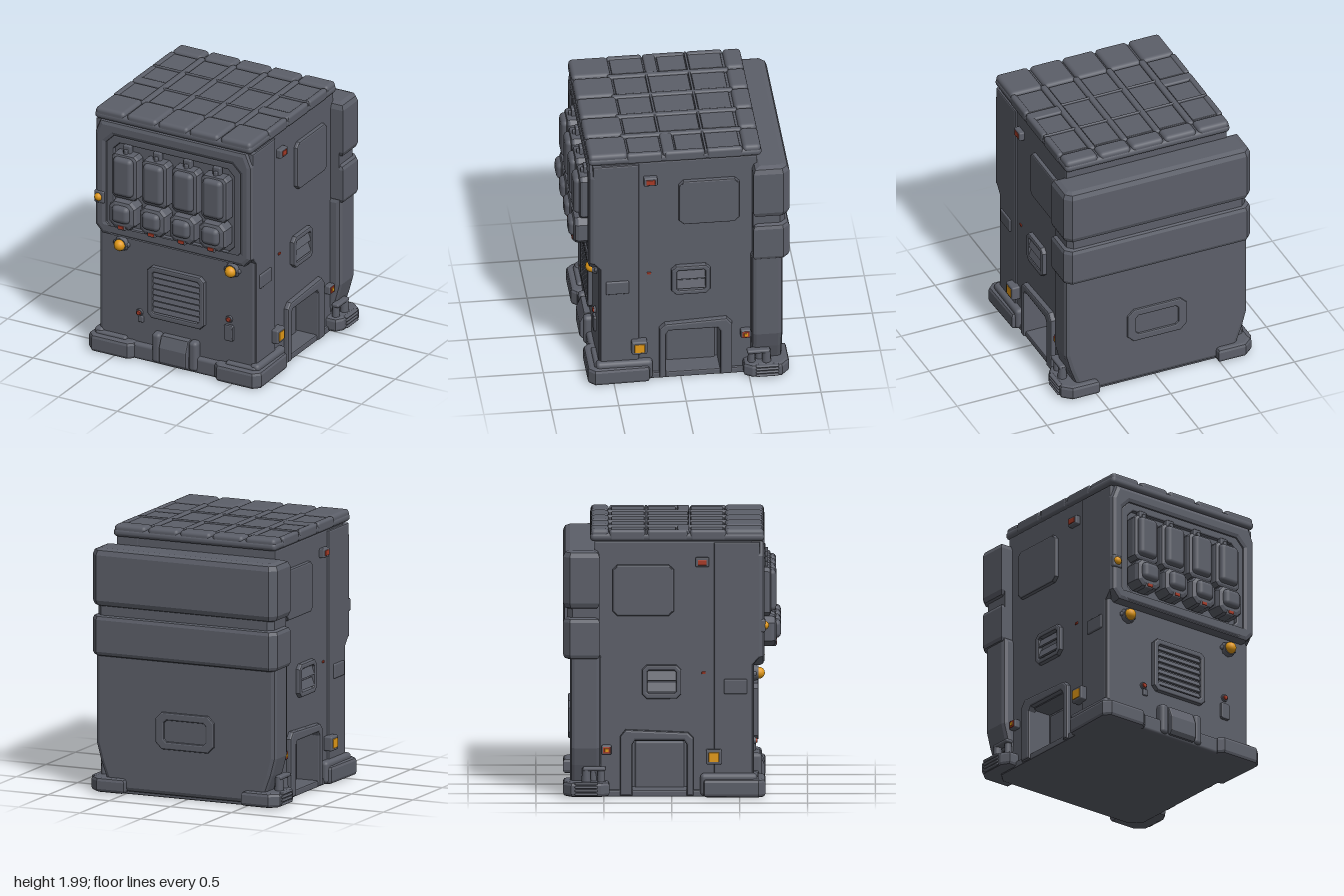
import * as THREE from 'three';
import { RoundedBoxGeometry } from 'three/addons/geometries/RoundedBoxGeometry.js';

const paint = (name, color) => Object.assign(new THREE.MeshStandardMaterial({ color }), { name });

export function createModel() {
  const model = new THREE.Group();
  model.name = 'machineryBlock';
  const grey = paint('slateGrey', 0x5c5f69);
  const amber = paint('amberLamp', 0xe39a17);
  const red = paint('redLamp', 0xa83a26);

  const add = (name, geo, mat = grey) => {
    const m = new THREE.Mesh(geo, mat);
    m.name = name;
    model.add(m);
    return m;
  };
  // Soft-edged box given by its centre and size
  const box = (name, x, y, z, w, h, d, r = 0.015, mat = grey) => {
    const m = add(name, new RoundedBoxGeometry(w, h, d, 2, Math.min(r, w / 2.1, h / 2.1, d / 2.1)), mat);
    m.position.set(x, y, z);
    return m;
  };
  const path = (pts, Type = THREE.Shape) => new Type(pts.map(p => new THREE.Vector2(p[0], p[1])));
  // Rectangle with cut corners
  const cut = (x0, y0, x1, y1, c) => [[x0 + c, y0], [x1 - c, y0], [x1, y0 + c], [x1, y1 - c],
    [x1 - c, y1], [x0 + c, y1], [x0, y1 - c], [x0, y0 + c]];
  // Bevelled plate occupying depths a to b
  const plate = (pts, a, b, bevel, hole) => {
    const s = path(pts);
    if (hole) s.holes.push(path(hole, THREE.Path));
    return new THREE.ExtrudeGeometry(s, {
      depth: b - a - 2 * bevel, bevelEnabled: bevel > 0, bevelThickness: bevel,
      bevelSize: bevel, bevelOffset: -bevel, bevelSegments: 2,
    }).translate(0, 0, a + bevel);
  };
  // Plan outline in (x, z) raised from y0 to y1
  const slab = (name, pts, y0, y1, bevel) =>
    add(name, plate(pts.map(p => [p[0], -p[1]]), y0, y1, bevel).rotateX(-Math.PI / 2));

  // Core, floor and front wall
  box('core', 0, 0.97, 0, 0.98, 1.9, 1.14);
  add('frontWall', plate(cut(-0.66, 0.02, 0.66, 1.06, 0.02), 0.45, 0.605, 0.025));
  slab('floor', cut(-0.67, -0.72, 0.67, 0.63, 0.08), 0.01, 0.06, 0.01);

  // Upper front panel with tank bay
  add('tankBayFrame', plate([[-0.6, 0.98], [0.6, 0.98], [0.665, 1.05], [0.665, 1.8], [0.62, 1.91],
    [-0.62, 1.91], [-0.665, 1.8], [-0.665, 1.05]], 0.4, 0.682, 0.035, cut(-0.56, 1.03, 0.56, 1.79, 0.06)));
  add('tankBayBack', plate(cut(-0.58, 1.01, 0.58, 1.81, 0.05), 0.5, 0.635, 0));
  add('tankBayLip', plate(cut(-0.57, 1.02, 0.57, 1.8, 0.06), 0.62, 0.665, 0.012, cut(-0.51, 1.07, 0.51, 1.74, 0.05)));
  for (const x of [-0.385, -0.13, 0.125, 0.375]) {
    add('upperTank', plate(cut(-0.112, 1.325, 0.112, 1.69, 0.03), 0.62, 0.73, 0.025)).position.x = x;
    box('tankCover', x, 1.515, 0.72, 0.165, 0.31, 0.1, 0.035);
    box('tankClip', x, 1.715, 0.665, 0.065, 0.07, 0.05, 0.01);
    box('tankClipPin', x, 1.695, 0.695, 0.03, 0.05, 0.03, 0.008);
    add('lowerPod', plate(cut(-0.112, 1.1, 0.112, 1.325, 0.045), 0.62, 0.77, 0.035)).position.x = x;
    box('podCover', x, 1.225, 0.745, 0.15, 0.14, 0.12, 0.04);
    box('podLampHousing', x, 1.122, 0.71, 0.068, 0.056, 0.12, 0.01);
    box('podLamp', x, 1.118, 0.772, 0.046, 0.024, 0.008, 0.003, red);
  }
  box('panelLampHousing', -0.62, 1.28, 0.66, 0.085, 0.1, 0.06);
  const panelLamp = add('panelLamp', new THREE.SphereGeometry(0.032, 12, 8), amber);
  panelLamp.position.set(-0.625, 1.28, 0.685);

  // Louvred vent with the open direction along local +z
  const louvre = (w, h, rows, bars, frame) => {
    const g = new THREE.Group();
    g.name = 'louvreVent';
    const put = (name, geo, x, y, z) => {
      const m = new THREE.Mesh(geo, grey);
      m.name = name;
      m.position.set(x, y, z);
      g.add(m);
      return m;
    };
    put('ventFrame', plate(cut(-w / 2, -h / 2, w / 2, h / 2, 0.035), -0.02, 0.035, 0.012,
      cut(-w / 2 + frame, -h / 2 + frame, w / 2 - frame, h / 2 - frame, 0.012)), 0, 0, 0);
    const step = (h - 2 * frame) / rows;
    for (let i = 0; i < rows; i++) {
      const slat = put('ventSlat', new THREE.BoxGeometry(w - 2 * frame, step * 0.8, 0.014),
        0, -h / 2 + frame + step * (i + 0.5), 0.014);
      slat.rotation.x = -0.35;
    }
    for (let i = 1; i <= bars; i++)
      put('ventBar', new THREE.BoxGeometry(0.012, h - 2 * frame, 0.02), (i / (bars + 1) - 0.5) * (w - 2 * frame), 0, 0.014);
    model.add(g);
    return g;
  };
  louvre(0.48, 0.42, 7, 0, 0.045).position.set(0, 0.58, 0.605);

  // Lower front lamps and fittings
  const turned = (name, r0, r1, len, x, y, z, mat, sides = 12) => {
    const m = add(name, new THREE.CylinderGeometry(r1, r0, len, sides).rotateX(Math.PI / 2), mat);
    m.position.set(x, y, z);
    return m;
  };
  for (const s of [-1, 1]) {
    turned('headlampCollar', 0.062, 0.052, 0.04, s * 0.47, 0.905, 0.62, grey, 8);
    box('headlampBracket', s * 0.47, 0.905, 0.61, 0.14, 0.035, 0.03);
    const dome = add('headlamp', new THREE.SphereGeometry(0.044, 16, 10), amber);
    dome.position.set(s * 0.47, 0.905, 0.642);
  }
  for (const [x, y] of [[-0.32, 0.38], [0.44, 0.5]]) {
    turned('signalCollar', 0.03, 0.026, 0.02, x, y, 0.61, grey);
    turned('signalLamp', 0.021, 0.015, 0.016, x, y, 0.622, red);
  }
  add('switchBox', plate(cut(0.4, 0.325, 0.48, 0.455, 0.012), 0.59, 0.625, 0.01, cut(0.418, 0.35, 0.462, 0.43, 0.008)));
  box('switch', 0.44, 0.385, 0.61, 0.035, 0.05, 0.02, 0.006);
  box('smallFitting', -0.305, 0.33, 0.608, 0.04, 0.05, 0.025, 0.008);

  // Centre hatch at the foot of the front
  box('hatchStep', 0, 0.075, 0.58, 0.74, 0.13, 0.13, 0.025);
  for (const s of [-1, 1]) box('hatchCheek', s * 0.155, 0.145, 0.6, 0.075, 0.24, 0.13, 0.03);
  add('hatch', plate([[0.56, 0.03], [0.665, 0.03], [0.685, 0.06], [0.685, 0.17], [0.65, 0.255], [0.56, 0.265]],
    -0.115, 0.115, 0.01).rotateY(-Math.PI / 2));

  for (const s of [-1, 1]) {
    // Side wall pieces are drawn in (-z, y) and stand between two distances from the centre plane
    const wall = (name, pts, a, b, bevel, hole) => {
      const [p, q] = s > 0 ? [a, b] : [-b, -a];
      return add(name, plate(pts, p, q, bevel, hole).rotateY(Math.PI / 2));
    };
    const side = (name, z, y, w, h, x, t, r, mat) => box(name, s * x, y, z, t, h, w, r, mat);

    wall('sideWall', [[-0.59, 0.02], [-0.11, 0.02], [-0.11, 0.42], [0.29, 0.42], [0.29, 0.02], [0.57, 0.02],
      [0.57, 1.91], [-0.59, 1.91]], 0.47, 0.65, 0.01);
    wall('sidePillar', [[-0.595, 0.05], [-0.31, 0.05], [-0.31, 1.9], [-0.65, 1.9], [-0.65, 1.05], [-0.595, 0.99]], 0.6, 0.665, 0.012);
    wall('doorFrame', [[-0.16, 0.02], [-0.11, 0.02], [-0.11, 0.4], [-0.09, 0.43], [0.27, 0.43], [0.29, 0.4],
      [0.29, 0.02], [0.38, 0.02], [0.38, 0.46], [0.34, 0.51], [-0.12, 0.49], [-0.16, 0.45]], 0.62, 0.69, 0.015);
    side('door', -0.09, 0.21, 0.36, 0.38, 0.49, 0.04);

    const turn = s * Math.PI / 2;
    const upper = louvre(0.45, 0.38, 6, 2, 0.025);
    upper.position.set(s * 0.645, 1.545, -0.21);
    upper.rotation.y = turn;
    const middle = louvre(0.29, 0.25, 2, 0, 0.04);
    middle.position.set(s * 0.65, 0.865, -0.075);
    middle.rotation.y = turn;

    // Side lamps and access cover
    side('accessCover', 0.47, 0.83, 0.17, 0.11, 0.665, 0.025, 0.01);
    side('markerHousing', 0.225, 1.755, 0.1, 0.07, 0.665, 0.05, 0.01);
    side('markerLamp', 0.225, 1.755, 0.065, 0.04, 0.691, 0.008, 0.003, red);
    side('pinLamp', 0.235, 0.93, 0.03, 0.018, 0.653, 0.01, 0.004, red);
    side('sideLampHousing', 0.31, 0.31, 0.115, 0.11, 0.68, 0.07, 0.012);
    side('sideLamp', 0.31, 0.31, 0.075, 0.07, 0.716, 0.008, 0.003, amber);
    side('rearLampHousing', -0.48, 0.36, 0.075, 0.07, 0.665, 0.06, 0.012);
    side('rearLampRim', -0.48, 0.36, 0.055, 0.05, 0.695, 0.008, 0.003, red);
    side('rearLamp', -0.48, 0.36, 0.028, 0.026, 0.7, 0.008, 0.003, amber);

    // Front foot
    const mir = pts => (s > 0 ? pts : pts.map(p => [-p[0], p[1]]).reverse());
    slab('frontFoot', mir([[0.34, 0.3], [0.6, 0.2], [0.72, 0.24], [0.73, 0.64], [0.68, 0.69], [0.38, 0.69], [0.34, 0.65]]), 0.01, 0.145, 0.025);
    side('footRidge', 0.42, 0.1, 0.42, 0.17, 0.66, 0.08, 0.03);
    box('footCap', s * 0.55, 0.14, 0.59, 0.26, 0.05, 0.1, 0.02);

    // Rear foot with its fittings
    slab('rearFoot', mir([[0.48, -0.8], [0.7, -0.8], [0.77, -0.74], [0.77, -0.52], [0.73, -0.46], [0.56, -0.46], [0.48, -0.55]]), 0.02, 0.13, 0.025);
    for (let i = 0; i < 4; i++) side('footRib', -0.63, 0.042 + i * 0.026, 0.17, 0.018, 0.765, 0.035, 0.008);
    for (const [x, z, h, r] of [[0.7, -0.52, 0.1, 0.03], [0.71, -0.63, 0.11, 0.035], [0.66, -0.58, 0.18, 0.028]]) {
      const post = add('footPost', new THREE.CylinderGeometry(r * 0.85, r, h, 10));
      post.position.set(s * x, 0.12 + h / 2, z);
    }
    box('footPipe', s * 0.71, 0.225, -0.57, 0.06, 0.03, 0.17, 0.012);
  }

  // Rear pack: bands with cut corners, over a tapering lower shell
  const plan = (x, z, c) => [[-x + c, z], [x - c, z], [x, z + c], [x, -0.53], [-x, -0.53], [-x, z + c]];
  slab('packTopBand', plan(0.755, -0.8, 0.05), 1.41, 1.85, 0.05);
  slab('packGroove', plan(0.72, -0.77, 0.04), 1.25, 1.5, 0.01);
  slab('packMiddleBand', plan(0.755, -0.8, 0.05), 1.04, 1.35, 0.035);
  add('packLowerShell', plate([[-0.62, 0.03], [0.62, 0.03], [0.7, 0.25], [0.735, 0.38], [0.735, 1.08],
    [-0.735, 1.08], [-0.735, 0.38], [-0.7, 0.25]], -0.75, -0.52, 0.035));
  add('packRearPanel', plate(cut(-0.24, 0.38, 0.24, 0.66, 0.05), -0.765, -0.73, 0.012, cut(-0.17, 0.44, 0.17, 0.6, 0.02)));

  // Roof slab, segmented rim, ribs and sunken tiles
  box('roofSlab', 0, 1.94, 0.04, 1.33, 0.065, 1.285, 0.03);
  const columns = [[-0.66, -0.41], [-0.395, -0.14], [-0.13, 0.125], [0.135, 0.385], [0.4, 0.66]];
  columns.forEach(([a, b], i) => {
    const x = (a + b) / 2, w = b - a;
    box('roofFrontRim', x, 1.955, 0.535, w, 0.09, 0.29, 0.03);
    box('roofBackRim', x, 1.955, -0.53, w, 0.09, 0.135, 0.03);
    const outer = i === 0 || i === 4;
    const rows = [[-0.445, -0.2], [-0.175, outer ? 0.03 : 0.12], [0.14, 0.38]];
    for (const [c, d] of rows) box('roofTile', x, 1.97, (c + d) / 2, w - 0.045, 0.03, d - c, 0.006);
    box('roofCrossRib', x, 1.975, -0.188, w, 0.04, 0.018, 0.008);
    box('roofCrossRib', x, 1.975, outer ? 0.085 : 0.13, w, 0.04, outer ? 0.09 : 0.018, 0.015);
  });
  for (const x of [-0.4025, -0.135, 0.13, 0.3925]) box('roofLongRib', x, 1.97, -0.03, 0.05, 0.05, 0.9, 0.018);
  for (const s of [-1, 1])
    for (const [c, d] of [[-0.46, -0.195], [-0.18, 0.12], [0.135, 0.4]])
      box('roofSideRim', s * 0.643, 1.953, (c + d) / 2, 0.05, 0.085, d - c, 0.022);

  return model;
}
